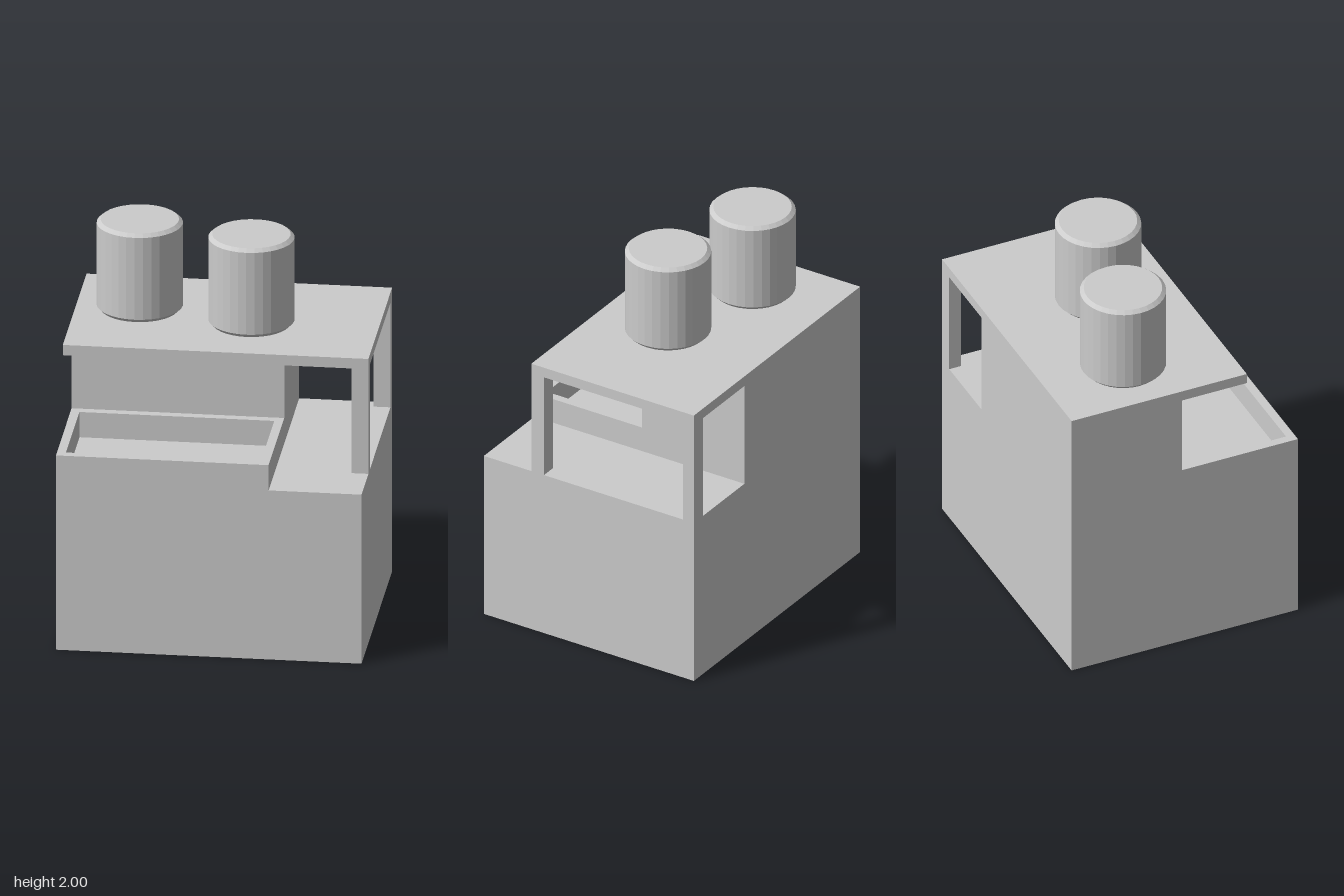
import * as THREE from 'three';

const material = new THREE.MeshStandardMaterial({ color: 0xcccccc, flatShading: true });

function addMesh(group, name, geometry) {
  const mesh = new THREE.Mesh(geometry, material);
  mesh.name = name;
  group.add(mesh);
  return mesh;
}

// Box given by its [min, max] extent on each axis
function addBox(group, name, [x0, x1], [y0, y1], [z0, z1]) {
  const mesh = addMesh(group, name, new THREE.BoxGeometry(x1 - x0, y1 - y0, z1 - z0));
  mesh.position.set((x0 + x1) / 2, (y0 + y1) / 2, (z0 + z1) / 2);
}

// Closed rectangle on the ground plane (z is flipped for the later rotation)
function rectangle(Type, x0, x1, z0, z1) {
  const corners = [[x0, -z1], [x1, -z1], [x1, -z0], [x0, -z0]];
  return new Type(corners.map(([x, y]) => new THREE.Vector2(x, y)));
}

export function createModel() {
  const group = new THREE.Group();
  group.name = 'counterUnit';

  const W = 0.765, D = 0.62;       // half width and half depth
  const counterY = 0.905, trayY = 1.04, roofY = 1.465, roofTop = 1.52;
  const blockX = 0.3, blockZ = -0.015, wall = 0.045;

  // Solid base and the tall block at the back
  addBox(group, 'base', [-W, W], [0, counterY], [-D, D]);
  addBox(group, 'rearBlock', [-W, blockX], [counterY, roofY], [-D, blockZ]);

  // Raised rim around the open tray; the base forms its floor
  const rim = rectangle(THREE.Shape, -W, blockX, blockZ, D);
  rim.holes.push(rectangle(THREE.Path, -W + wall, blockX - wall, blockZ + wall, D - wall));
  const rimGeometry = new THREE.ExtrudeGeometry(rim, { depth: trayY - counterY, bevelEnabled: false });
  rimGeometry.rotateX(-Math.PI / 2);
  addMesh(group, 'trayRim', rimGeometry).position.y = counterY;

  // Flat roof and the two posts that carry its open corner
  addBox(group, 'roof', [-W, W], [roofY, roofTop], [-D, 0.34]);
  addBox(group, 'frontPost', [0.68, W], [counterY, roofY], [0.265, 0.34]);
  addBox(group, 'backPost', [0.68, W], [counterY, roofY], [-D, -0.555]);

  // Chamfered canisters standing on the roof
  const profile = [[0, 1.525], [0.195, 1.525], [0.215, 1.545], [0.215, 1.983], [0.195, 2], [0, 2]]
    .map(([r, y]) => new THREE.Vector2(r, y));
  for (const [name, x, z] of [['rightCanister', -0.445, -0.19], ['leftCanister', 0.13, -0.06]]) {
    addMesh(group, name, new THREE.LatheGeometry(profile, 32)).position.set(x, 0, z);
  }

  return group;
}
